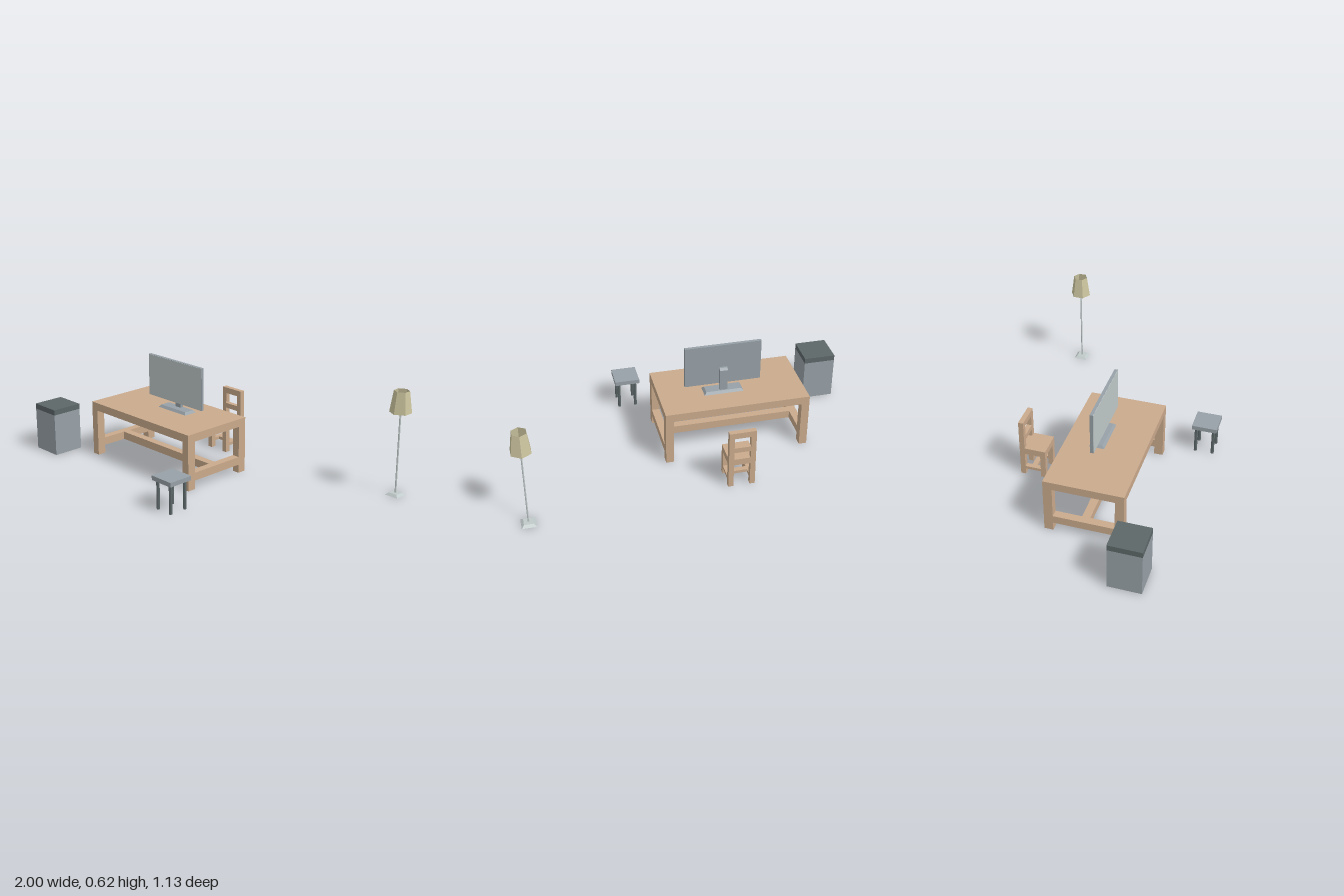
import * as THREE from 'three';

const flat = (name, color, side = THREE.FrontSide) => {
  const m = new THREE.MeshStandardMaterial({ color, flatShading: true, side });
  m.name = name;
  return m;
};

export function createModel() {
  const wood = flat('wood', 0xcaaa8c);
  const metal = flat('greyMetal', 0x97a1a7);
  const dark = flat('darkMetal', 0x5d6768);
  const light = flat('lightMetal', 0xc0c9c9);
  const fabric = flat('shadeFabric', 0xcdc5a0, THREE.DoubleSide);

  const model = new THREE.Group();
  const group = (name) => {
    const g = new THREE.Group();
    g.name = name;
    model.add(g);
    return g;
  };
  const add = (parent, name, geometry, material, x = 0, y = 0, z = 0) => {
    const mesh = new THREE.Mesh(geometry, material);
    mesh.name = name;
    mesh.position.set(x, y, z);
    parent.add(mesh);
    return mesh;
  };
  // Box given by its extents on each axis
  const box = (parent, name, material, [x0, x1], [y0, y1], [z0, z1]) =>
    add(parent, name, new THREE.BoxGeometry(x1 - x0, y1 - y0, z1 - z0), material,
      (x0 + x1) / 2, (y0 + y1) / 2, (z0 + z1) / 2);
  // Box whose top is drawn in by a fixed margin
  const taperedBox = (w, h, d, inset) => {
    const g = new THREE.BoxGeometry(w, h, d);
    const p = g.attributes.position;
    for (let i = 0; i < p.count; i++) {
      if (p.getY(i) > 0) {
        p.setX(i, p.getX(i) - Math.sign(p.getX(i)) * inset);
        p.setZ(i, p.getZ(i) - Math.sign(p.getZ(i)) * inset);
      }
    }
    g.computeVertexNormals();
    return g;
  };

  // Table with an H-shaped stretcher
  const table = group('table');
  box(table, 'tableTop', wood, [-0.69, 0.137], [0.277, 0.323], [-0.168, 0.273]);
  for (const x of [[-0.69, -0.645], [0.092, 0.137]]) {
    for (const z of [[-0.168, -0.118], [0.223, 0.273]]) box(table, 'tableLeg', wood, x, [0, 0.277], z);
    box(table, 'sideStretcher', wood, x, [0.05, 0.096], [-0.118, 0.223]);
  }
  box(table, 'longStretcher', wood, [-0.645, 0.092], [0.05, 0.096], [0.03, 0.075]);

  // Chair behind the table
  const chair = group('chair');
  box(chair, 'seat', wood, [-0.297, -0.147], [0.142, 0.18], [-0.423, -0.302]);
  box(chair, 'seatBack', wood, [-0.268, -0.176], [0.142, 0.18], [-0.452, -0.423]);
  for (const x of [[-0.297, -0.268], [-0.176, -0.147]]) {
    box(chair, 'frontLeg', wood, x, [0, 0.142], [-0.332, -0.302]);
    box(chair, 'backPost', wood, x, [0, 0.353], [-0.452, -0.423]);
    box(chair, 'sideRail', wood, x, [0.037, 0.054], [-0.423, -0.332]);
  }
  box(chair, 'crossRail', wood, [-0.268, -0.176], [0.037, 0.054], [-0.392, -0.363]);
  box(chair, 'backSlat', wood, [-0.268, -0.176], [0.225, 0.255], [-0.452, -0.423]);
  box(chair, 'topRail', wood, [-0.268, -0.176], [0.318, 0.353], [-0.452, -0.423]);

  // Monitor on a stand
  const monitor = group('monitor');
  box(monitor, 'panel', metal, [-0.45, -0.012], [0.37, 0.616], [0.014, 0.032]);
  box(monitor, 'screen', light, [-0.449, -0.013], [0.371, 0.615], [0.032, 0.034]);
  add(monitor, 'standBase', taperedBox(0.226, 0.014, 0.084, 0.012), metal, -0.231, 0.33, 0.015);
  const neckShape = new THREE.Shape([
    [-0.009, 0.335], [0.008, 0.335], [0.008, 0.456], [0.014, 0.456],
    [0.014, 0.475], [0.002, 0.475], [-0.009, 0.463],
  ].map(([z, y]) => new THREE.Vector2(z, y)));
  const neck = new THREE.ExtrudeGeometry(neckShape, { depth: 0.046, bevelEnabled: false });
  neck.rotateY(-Math.PI / 2);
  add(monitor, 'standNeck', neck, metal, -0.208);

  // Cabinet with a dark lid
  const cabinet = group('cabinet');
  box(cabinet, 'cabinetBody', metal, [-1, -0.815], [0, 0.248], [0.275, 0.459]);
  box(cabinet, 'cabinetLid', dark, [-1, -0.815], [0.248, 0.28], [0.275, 0.459]);

  // Stool
  const stool = group('stool');
  box(stool, 'stoolSeat', metal, [0.172, 0.317], [0.162, 0.187], [0.421, 0.565]);
  for (const x of [0.196, 0.293])
    for (const z of [0.444, 0.544])
      add(stool, 'stoolLeg', new THREE.CylinderGeometry(0.0095, 0.0095, 0.162, 6), dark, x, 0.081, z);

  // Floor lamp
  const lamp = group('floorLamp');
  lamp.position.set(0.947, 0, -0.503);
  add(lamp, 'lampBase', taperedBox(0.08, 0.013, 0.08, 0.014), light, 0, 0.0065, 0);
  add(lamp, 'lampPole', new THREE.CylinderGeometry(0.005, 0.005, 0.5, 6), light, 0, 0.263, 0);
  add(lamp, 'lampShade', new THREE.CylinderGeometry(0.042, 0.06, 0.12, 6, 1, true), fabric, 0, 0.53, 0);

  return model;
}
